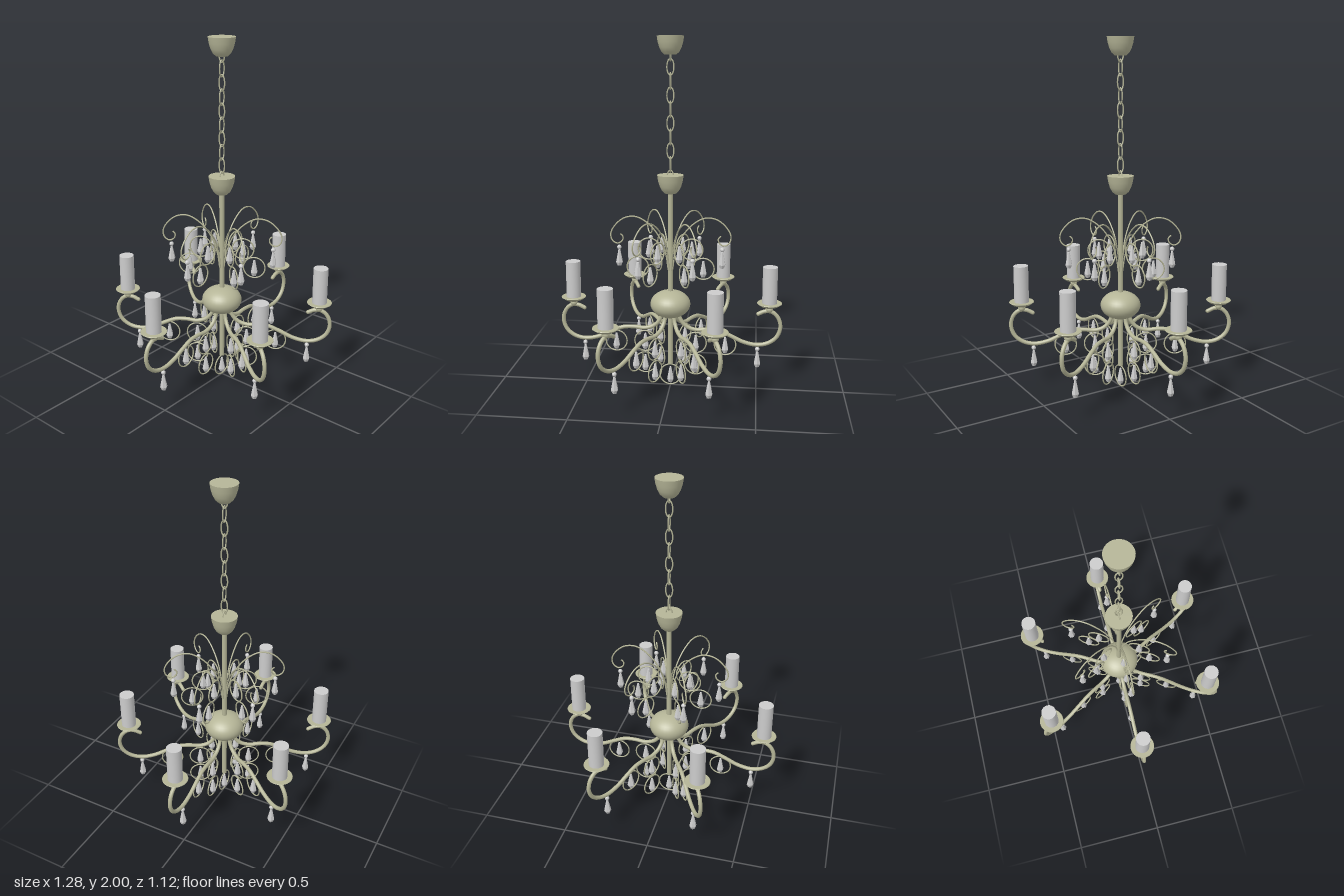
import * as THREE from 'three';
import { toCreasedNormals } from 'three/addons/utils/BufferGeometryUtils.js';

const brass = new THREE.MeshStandardMaterial({ color: 0xb5b597 });
const grey = new THREE.MeshStandardMaterial({ color: 0xcccccc });
const crystal = new THREE.MeshStandardMaterial({ color: 0xcccccc, flatShading: true });

const lathe = (pts, seg) =>
  new THREE.LatheGeometry(pts.map(([r, y]) => new THREE.Vector2(r, y)), seg);

// Round bar following points (radius from the axis, height)
const bar = (pts, radius, steps, sides) => new THREE.TubeGeometry(
  new THREE.CatmullRomCurve3(pts.map(([r, y]) => new THREE.Vector3(r, y, 0))), steps, radius, sides);

function add(parent, name, geometry, material, x = 0, y = 0, z = 0) {
  const mesh = new THREE.Mesh(geometry, material);
  mesh.name = name;
  mesh.position.set(x, y, z);
  parent.add(mesh);
  return mesh;
}

// Shared shapes
const capGeo = toCreasedNormals(lathe([[0, -0.1], [0.032, -0.1], [0.048, -0.085], [0.06, -0.062],
  [0.069, -0.032], [0.074, 0], [0, 0]], 32), 0.7);
const dropGeo = lathe([[0, -0.048], [0.012, -0.048], [0.021, -0.028], [0.006, 0.046], [0, 0.048]], 6);
const beadGeo = new THREE.SphereGeometry(0.013, 10, 8);
const ringGeo = new THREE.TorusGeometry(0.062, 0.004, 6, 32);
const plateGeo = toCreasedNormals(lathe([[0, -0.022], [0.025, -0.02], [0.052, -0.009], [0.071, 0.006],
  [0.069, 0.009], [0, 0.006]], 32), 0.7);
const candleGeo = new THREE.CylinderGeometry(0.042, 0.042, 0.216, 28);
const cupGeo = new THREE.SphereGeometry(0.021, 16, 12);

const armGeo = bar([[0.045, 0.46], [0.06, 0.405], [0.095, 0.365], [0.15, 0.347], [0.21, 0.352],
  [0.275, 0.348], [0.34, 0.322], [0.42, 0.285], [0.5, 0.27], [0.565, 0.285], [0.612, 0.325],
  [0.63, 0.385], [0.615, 0.44], [0.58, 0.472], [0.54, 0.474], [0.503, 0.457]], 0.0115, 72, 10);
const scrollGeo = bar([[0.012, 0.7], [0.028, 0.8], [0.065, 0.895], [0.125, 0.968], [0.195, 1.007],
  [0.26, 1.0], [0.312, 0.96], [0.34, 0.91], [0.334, 0.87], [0.305, 0.85], [0.276, 0.865],
  [0.271, 0.892], [0.286, 0.906]], 0.0042, 64, 6);

// Wire ring with a crystal hung inside
function ringPendant(parent, x, y) {
  const g = new THREE.Group();
  g.name = 'ringPendant';
  g.position.set(x, y, 0);
  add(g, 'ring', ringGeo, brass);
  add(g, 'crystalDrop', dropGeo, crystal);
  parent.add(g);
}

// Bead with a crystal below it
function beadPendant(parent, x, y) {
  const g = new THREE.Group();
  g.name = 'beadPendant';
  g.position.set(x, y, 0);
  add(g, 'bead', beadGeo, crystal);
  add(g, 'crystalDrop', dropGeo, crystal, 0, -0.06);
  parent.add(g);
}

// Arm with candle, upper scroll and hanging crystals
function makeArm() {
  const g = new THREE.Group();
  g.name = 'arm';
  add(g, 'armBar', armGeo, brass);
  for (const [x, y] of [[0.045, 0.46], [0.503, 0.457]])
    add(g, 'armEnd', new THREE.SphereGeometry(0.0115, 10, 8), brass, x, y);
  add(g, 'candleCup', cupGeo, brass, 0.565, 0.487);
  add(g, 'dripPlate', plateGeo, brass, 0.565, 0.517);
  add(g, 'candle', candleGeo, grey, 0.565, 0.628);
  add(g, 'scrollWire', scrollGeo, brass);
  for (const [x, y] of [[0.122, 0.823], [0.187, 0.713], [0.317, 0.263], [0.147, 0.268], [0.147, 0.135]])
    ringPendant(g, x, y);
  beadPendant(g, 0.293, 0.828);
  beadPendant(g, 0.503, 0.244);
  return g;
}

// Closed oval chain link
function linkGeometry() {
  const pts = [];
  for (let i = 0; i < 12; i++) {
    const a = i / 12 * Math.PI * 2;
    pts.push(new THREE.Vector3(0.019 * Math.cos(a), 0.044 * Math.sin(a), 0));
  }
  return new THREE.TubeGeometry(new THREE.CatmullRomCurve3(pts, true), 28, 0.004, 6, true);
}

export function createModel() {
  const model = new THREE.Group();
  model.name = 'chandelier';

  // Ceiling canopy, chain and lower cap
  add(model, 'ceilingCanopy', capGeo, brass, 0, 2);
  add(model, 'stemCap', capGeo, brass, 0, 1.248).scale.y = 1.03;
  const link = linkGeometry();
  for (let i = 0; i < 10; i++)
    add(model, 'chainLink', link, brass, 0, 1.911 - i * 0.0755).rotation.y = i % 2 ? 0 : Math.PI / 2;

  // Central stem and body
  add(model, 'stem', new THREE.CylinderGeometry(0.0145, 0.0145, 1.035, 16), brass, 0, 0.6475);
  add(model, 'body', new THREE.SphereGeometry(0.115, 32, 20), brass, 0, 0.5).scale.y = 0.69;
  ringPendant(model, 0, 0.066);

  // Six arms around the stem
  for (let i = 0; i < 6; i++) {
    const arm = makeArm();
    arm.rotation.y = i * Math.PI / 3;
    model.add(arm);
  }
  return model;
}
